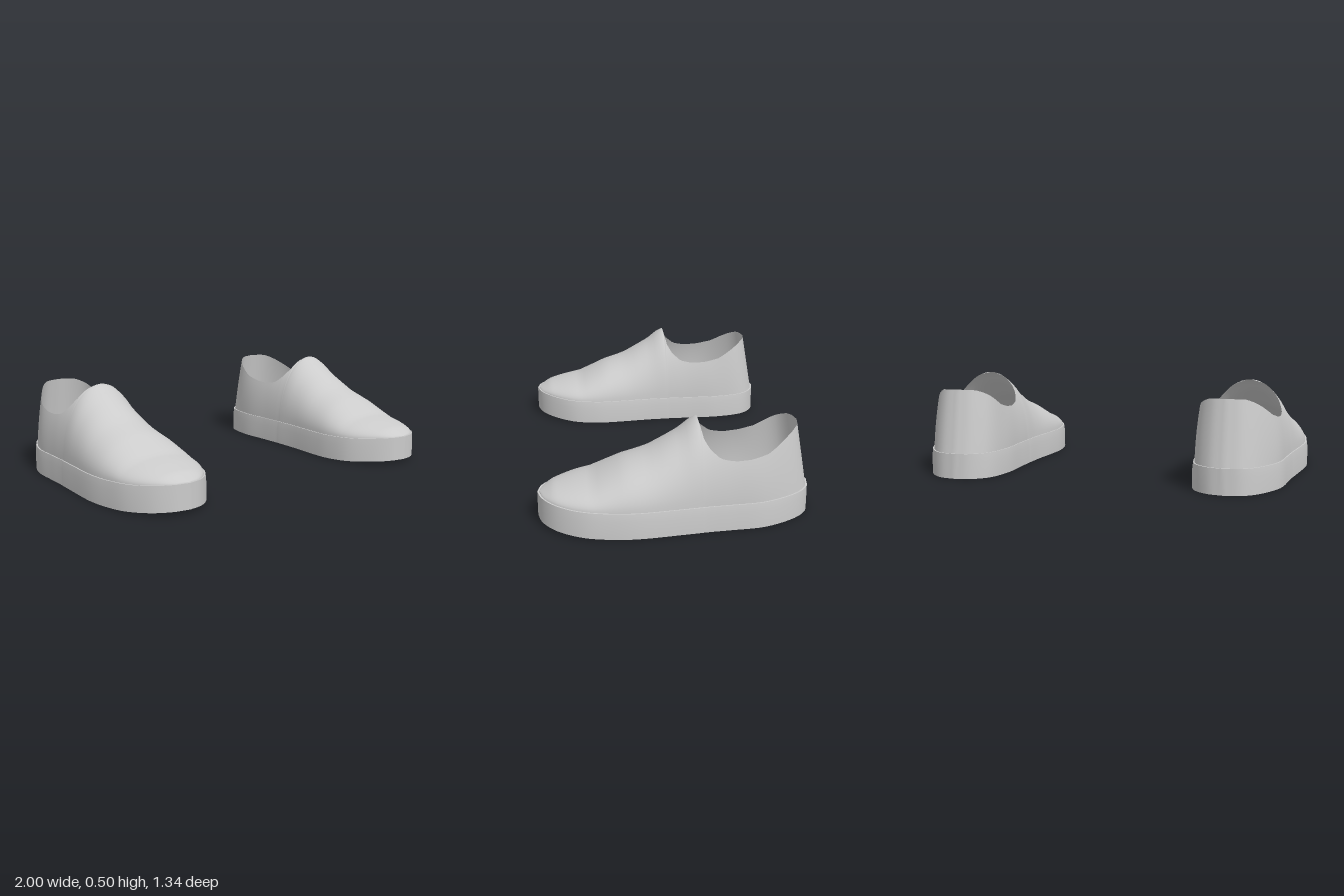
import * as THREE from 'three';
import { mergeVertices, toCreasedNormals } from 'three/addons/utils/BufferGeometryUtils.js';

// Plan outline, heel to toe: z, inner x, outer x
const OUTLINE = [
  [-0.67, 0.70, 0.70], [-0.65, 0.615, 0.79], [-0.58, 0.54, 0.865], [-0.42, 0.502, 0.94],
  [-0.25, 0.502, 0.957], [-0.16, 0.502, 0.963], [-0.125, 0.502, 0.966], [-0.11, 0.501, 0.968],
  [0, 0.497, 0.98], [0.2, 0.48, 0.998], [0.33, 0.478, 0.99], [0.46, 0.503, 0.965],
  [0.58, 0.58, 0.9], [0.645, 0.66, 0.82], [0.668, 0.74, 0.74],
];
// Height tables: z, y
const RIDGE = [[-0.67, 0.95], [-0.4, 0.6], [-0.2, 0.53], [-0.11, 0.503], [-0.08, 0.49], [-0.02, 0.44],
  [0.13, 0.35], [0.26, 0.305], [0.41, 0.23], [0.5, 0.212], [0.6, 0.188], [0.67, 0.15]];
const COLLAR = [[-0.67, 0.456], [-0.64, 0.452], [-0.58, 0.425], [-0.46, 0.366], [-0.36, 0.345],
  [-0.27, 0.34], [-0.2, 0.355], [-0.15, 0.4], [-0.125, 0.44], [-0.11, 0.503]];
const SOLE_TOP = [[-0.67, 0.13], [0.3, 0.13], [0.5, 0.137], [0.67, 0.15]];

function lookup(table, z) {
  if (z <= table[0][0]) return table[0][1];
  for (let i = 1; i < table.length; i++) {
    const [z0, y0] = table[i - 1], [z1, y1] = table[i];
    if (z <= z1) return y0 + (y1 - y0) * (z - z0) / (z1 - z0);
  }
  return table[table.length - 1][1];
}

// Joins rows of points running heel to toe; side -1 mirrors the surface
function loft(rows, side) {
  const n = rows[0].length, pos = [], index = [];
  rows.forEach(r => r.forEach(p => pos.push(p.x * side, p.y, p.z)));
  const flat = rows.flat();
  const tri = new THREE.Triangle();
  const add = (a, b, c) => {
    if (tri.set(flat[a], flat[b], flat[c]).getArea() < 1e-9) return;
    index.push(...(side > 0 ? [a, b, c] : [a, c, b]));
  };
  for (let i = 0; i < rows.length - 1; i++) {
    for (let j = 0; j < n - 1; j++) {
      const a = i * n + j, b = a + n;
      add(a, a + 1, b);
      add(b, a + 1, b + 1);
    }
  }
  const geo = new THREE.BufferGeometry();
  geo.setAttribute('position', new THREE.Float32BufferAttribute(pos, 3));
  geo.setIndex(index);
  return geo;
}

function stations() {
  const curve = new THREE.CatmullRomCurve3(OUTLINE.map(p => new THREE.Vector3(...p)), false, 'centripetal');
  const list = curve.getPoints((OUTLINE.length - 1) * 5);
  return list.map(p => ({ z: p.x, mid: (p.y + p.z) / 2, half: Math.max(0, (p.z - p.y) / 2) }));
}

// Sole: flat slab with the toe curled up slightly
function soleGeometry(side) {
  const rows = stations().map(({ z, mid, half }) => {
    const top = lookup(SOLE_TOP, z);
    const bottom = 0.022 * Math.max(0, (z - 0.25) / 0.42) ** 2;
    const upperHalf = half * 0.975;
    return [[half, bottom], [half, top * 0.7], [upperHalf, top], [-upperHalf, top],
      [-half, top * 0.7], [-half, bottom], [half, bottom]]
      .map(([x, y]) => new THREE.Vector3(mid + x, y, z));
  });
  return toCreasedNormals(loft(rows, side), 0.7);
}

// Upper: elliptical arches, cut off at the collar height behind the instep
function upperGeometry(side) {
  const steps = 14, outer = [], inner = [];
  for (const { z, mid, half } of stations()) {
    const base = lookup(SOLE_TOP, z) - 0.004;
    const rise = lookup(RIDGE, z) - base;
    const cut = Math.min(1, (lookup(COLLAR, z) - base) / rise);
    const end = z >= -0.1101 ? Math.PI / 2 : Math.asin(cut);
    const lean = 0.17 * THREE.MathUtils.smoothstep(-z, 0.25, 0.67);
    const wall = s => Array.from({ length: steps + 1 }, (_, k) => {
      const a = end * k / steps;
      const y = base + rise * Math.sin(a);
      return new THREE.Vector3(mid + s * half * 0.95 * Math.cos(a), y, z * 0.988 + lean * (y - base));
    });
    outer.push(wall(1));
    inner.push(wall(-1).reverse());
  }
  // Both walls share one vertex list so the instep and heel shade smoothly
  const a = loft(outer, side), b = loft(inner, side);
  const offset = a.attributes.position.count;
  const geo = new THREE.BufferGeometry();
  geo.setAttribute('position', new THREE.Float32BufferAttribute(
    [...a.attributes.position.array, ...b.attributes.position.array], 3));
  geo.setIndex([...a.index.array, ...Array.from(b.index.array, i => i + offset)]);
  const merged = mergeVertices(geo, 1e-4);
  merged.computeVertexNormals();
  return merged;
}

export function createModel() {
  const model = new THREE.Group();
  model.name = 'pairOfShoes';
  const solid = new THREE.MeshStandardMaterial({ color: 0xcccccc });
  const thin = new THREE.MeshStandardMaterial({ color: 0xcccccc, side: THREE.DoubleSide });
  for (const [name, side] of [['leftShoe', 1], ['rightShoe', -1]]) {
    const shoe = new THREE.Group();
    shoe.name = name;
    const sole = new THREE.Mesh(soleGeometry(side), solid);
    sole.name = 'sole';
    const upper = new THREE.Mesh(upperGeometry(side), thin);
    upper.name = 'upper';
    shoe.add(sole, upper);
    model.add(shoe);
  }
  return model;
}
